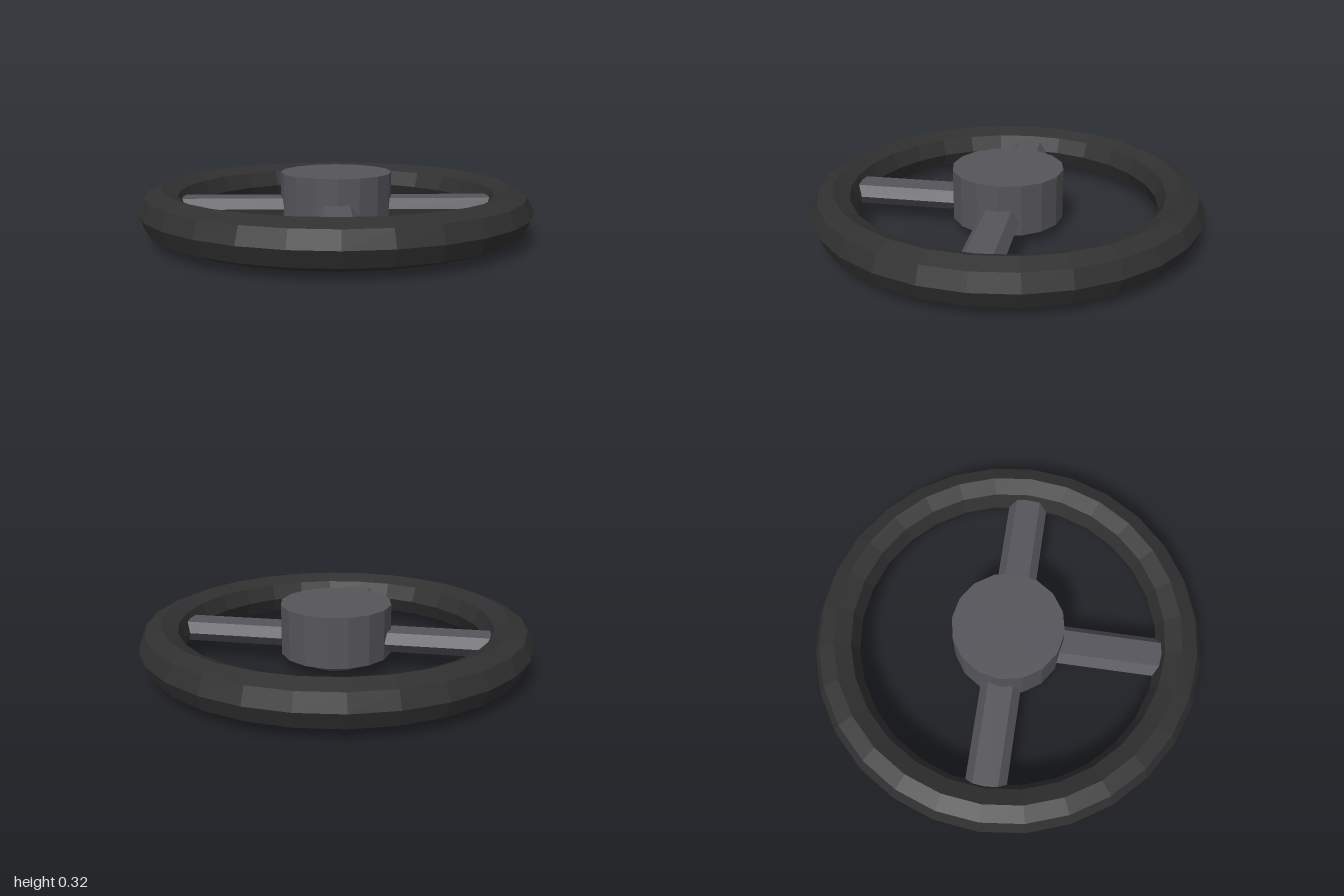
import * as THREE from 'three';

export function createModel() {
  const model = new THREE.Group();
  model.name = 'steeringWheel';

  const rubber = new THREE.MeshStandardMaterial({ color: 0x303030, flatShading: true });
  rubber.name = 'darkRubber';
  const metal = new THREE.MeshStandardMaterial({ color: 0x54545a, flatShading: true });
  metal.name = 'greyMetal';

  function add(name, geometry, material, y) {
    const mesh = new THREE.Mesh(geometry, material);
    mesh.name = name;
    mesh.position.y = y;
    model.add(mesh);
    return mesh;
  }

  const rimY = 0.14;

  // Rim: faceted ring lying flat
  add('rim', new THREE.TorusGeometry(0.885, 0.115, 8, 28).rotateX(Math.PI / 2), rubber, rimY);

  // Hub, with the smaller column mount below it
  add('hub', new THREE.CylinderGeometry(0.285, 0.285, 0.26, 16), metal, 0.19);
  add('columnMount', new THREE.CylinderGeometry(0.155, 0.155, 0.08, 12), rubber, 0.04);

  // Spokes: flattened six-sided bars running from hub into rim
  const section = new THREE.Shape([
    [0.103, 0], [0.063, 0.05], [-0.063, 0.05],
    [-0.103, 0], [-0.063, -0.05], [0.063, -0.05],
  ].map(([x, y]) => new THREE.Vector2(x, y)));
  const bar = new THREE.ExtrudeGeometry(section, { depth: 0.65, bevelEnabled: false });
  bar.translate(0, 0, 0.2);
  const turns = { frontSpoke: 0, leftSpoke: Math.PI / 2, rightSpoke: -Math.PI / 2 };
  for (const [name, turn] of Object.entries(turns)) {
    add(name, bar, metal, rimY).rotation.y = turn;
  }

  return model;
}
